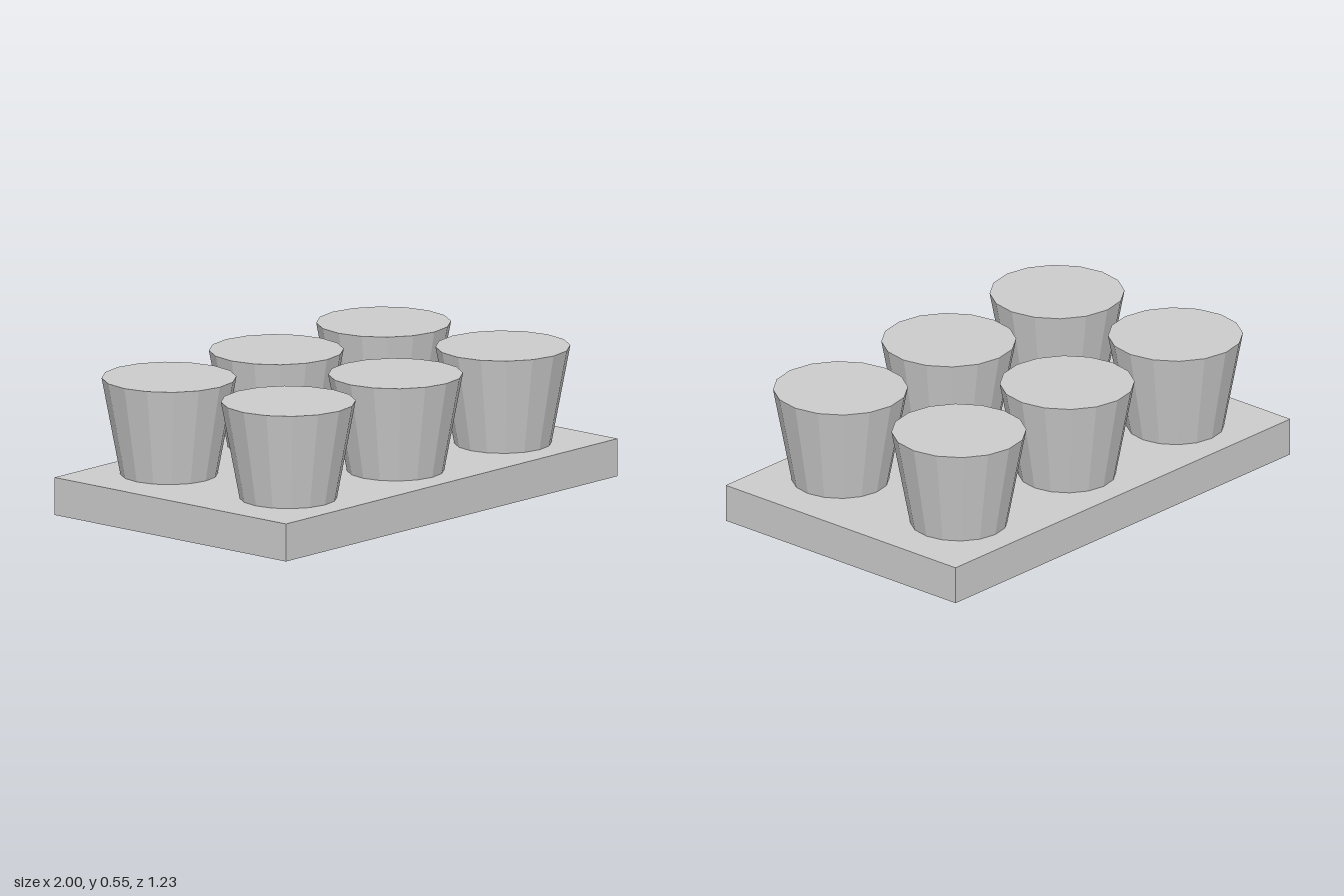
import * as THREE from 'three';

export function createModel() {
  const model = new THREE.Group();
  model.name = 'cupTray';
  const grey = new THREE.MeshStandardMaterial({ color: 0xcccccc, flatShading: true });
  grey.name = 'light grey';

  const baseHeight = 0.154;
  const totalHeight = 0.55;
  const cupHeight = totalHeight - baseHeight;

  // Flat rectangular slab
  const base = new THREE.Mesh(new THREE.BoxGeometry(2, baseHeight, 1.234), grey);
  base.name = 'base';
  base.position.y = baseHeight / 2;
  model.add(base);

  // Two rows of three solid tapered cups
  const cupGeometry = new THREE.CylinderGeometry(0.27, 0.195, cupHeight, 16);
  for (const z of [-0.318, 0.318]) {
    for (const x of [-0.647, 0, 0.647]) {
      const cup = new THREE.Mesh(cupGeometry, grey);
      cup.name = `${z < 0 ? 'back' : 'front'}${x < 0 ? 'Right' : x > 0 ? 'Left' : 'Middle'}Cup`;
      cup.position.set(x, baseHeight + cupHeight / 2, z);
      model.add(cup);
    }
  }
  return model;
}
